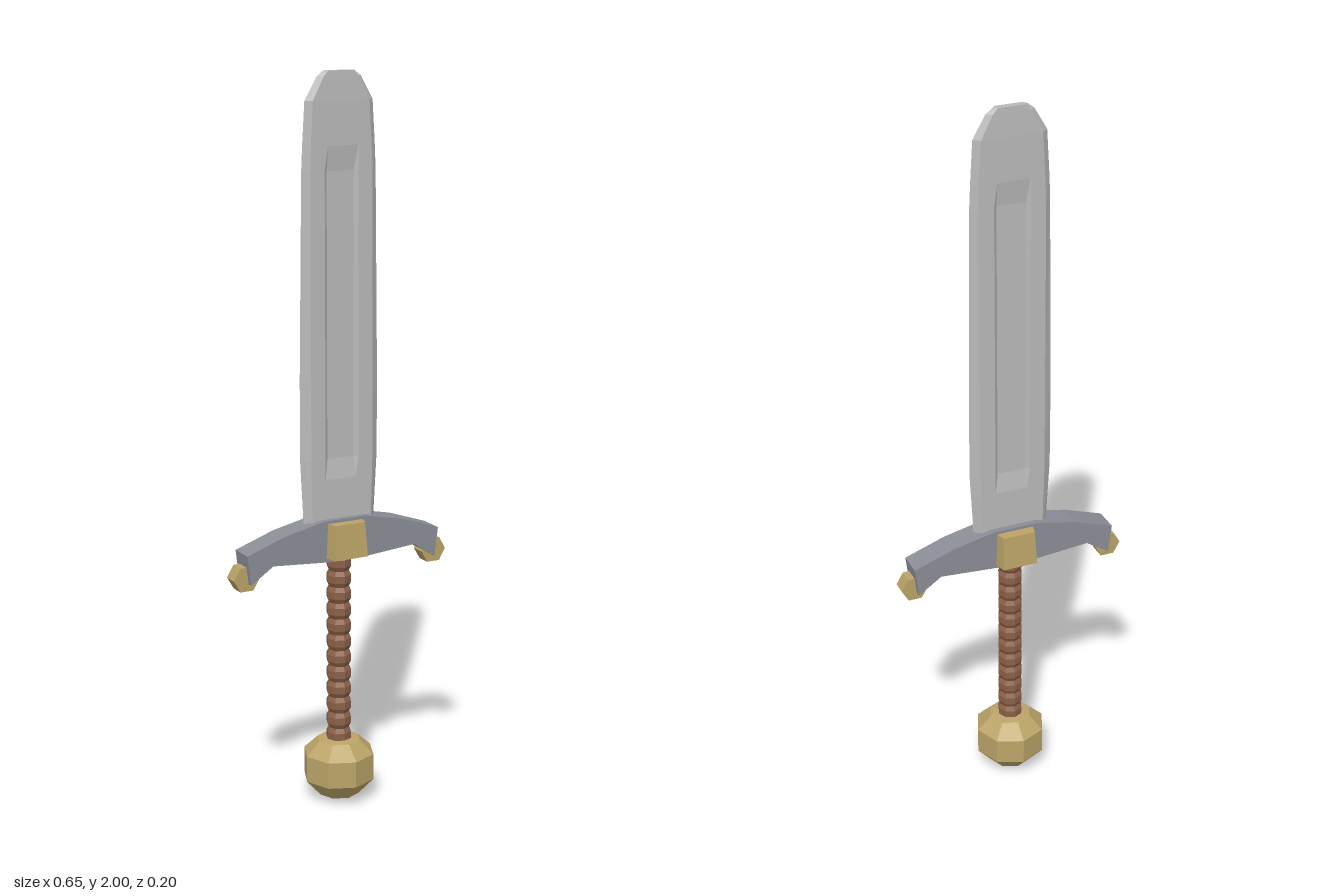
import * as THREE from 'three';

const mat = (name, color) => new THREE.MeshStandardMaterial({ name, color, flatShading: true });

// Joins equal-length closed loops (counter-clockwise seen from above, stacked upward) and caps both ends.
function loft(loops) {
  const n = loops[0].length, idx = [];
  for (let s = 0; s < loops.length - 1; s++) {
    for (let i = 0; i < n; i++) {
      const a = s * n + i, b = s * n + (i + 1) % n;
      idx.push(a, b, b + n, a, b + n, a + n);
    }
  }
  const top = (loops.length - 1) * n;
  for (let i = 1; i < n - 1; i++) {
    idx.push(0, i + 1, i);
    idx.push(top, top + i, top + i + 1);
  }
  const g = new THREE.BufferGeometry();
  g.setAttribute('position', new THREE.Float32BufferAttribute(loops.flat(2), 3));
  g.setIndex(idx);
  const flat = g.toNonIndexed();
  flat.computeVertexNormals();
  return flat;
}

// Blade section: edge half-width w, flat half-width f, half-thickness t, fuller depth d.
function bladeSection([y, w, f, t, d]) {
  const g = Math.min(0.05, f * 0.8), h = g - 0.01;
  const half = [[w, 0], [f, t], [g, t], [h, t - d], [-h, t - d], [-g, t], [-f, t]];
  const back = [[-w, 0], [-f, -t], [-g, -t], [-h, d - t], [h, d - t], [g, -t], [f, -t]];
  // z is reversed so the loop runs counter-clockwise from above
  return [...half, ...back].map(([x, z]) => [x, y, -z]);
}

export function createModel() {
  const group = new THREE.Group();
  const steel = mat('bladeSteel', 0xb9b9b9);
  const iron = mat('guardIron', 0x8b8d97);
  const gold = mat('brass', 0xbba468);
  const leather = mat('gripLeather', 0x8a6048);

  const add = (name, geometry, material) => {
    const mesh = new THREE.Mesh(geometry, material);
    mesh.name = name;
    group.add(mesh);
    return mesh;
  };

  // Blade with a sunken fuller on both faces
  add('blade', loft([
    [0.78, 0.106, 0.088, 0.019, 0],
    [0.925, 0.114, 0.092, 0.019, 0],
    [0.98, 0.117, 0.093, 0.019, 0.009],
    [1.2, 0.117, 0.093, 0.018, 0.009],
    [1.745, 0.11, 0.092, 0.016, 0.008],
    [1.81, 0.107, 0.089, 0.015, 0],
    [1.925, 0.1, 0.083, 0.014, 0],
    [1.985, 0.065, 0.05, 0.011, 0],
    [2.0, 0.045, 0.036, 0.01, 0],
  ].map(bladeSection)), steel);

  // Crossguard with drooping arms
  const right = [[0.04, 0.7], [0.217, 0.714], [0.283, 0.67], [0.293, 0.752], [0.18, 0.791], [0.065, 0.816]];
  const left = right.map(([x, y]) => [-x, y]).reverse();
  const outline = new THREE.Shape([...right, ...left].map(([x, y]) => new THREE.Vector2(x, y)));
  const guard = new THREE.ExtrudeGeometry(outline, { depth: 0.072, bevelEnabled: false });
  guard.translate(0, 0, -0.036);
  add('crossguard', guard, iron);

  // Tapered brass blocks on both faces of the guard
  const blockSection = (y, back, front, z) =>
    [[-back, y, 0.03], [-front, y, z], [front, y, z], [back, y, 0.03]];
  const block = loft([blockSection(0.713, 0.058, 0.05, 0.073), blockSection(0.808, 0.054, 0.045, 0.065)]);
  add('frontGuardBlock', block, gold);
  add('backGuardBlock', block, gold).rotation.y = Math.PI;

  // Hexagonal studs at the guard tips
  const stud = new THREE.CylinderGeometry(0.038, 0.038, 0.042, 6);
  stud.rotateY(Math.PI / 2);
  stud.rotateX(Math.PI / 2);
  for (const side of [-1, 1]) {
    add(side > 0 ? 'leftGuardStud' : 'rightGuardStud', stud, gold).position.set(side * 0.288, 0.684, 0);
  }

  // Ribbed grip
  const profile = [], ribs = 12, y0 = 0.165, pitch = (0.71 - y0) / ribs;
  for (let i = 0; i < ribs; i++) {
    for (const [r, t] of [[0.028, 0], [0.035, 0.28], [0.035, 0.72]]) {
      profile.push(new THREE.Vector2(r, y0 + (i + t) * pitch));
    }
  }
  profile.push(new THREE.Vector2(0.028, 0.71));
  add('grip', new THREE.LatheGeometry(profile, 8), leather);

  // Faceted pommel
  const pommel = [[0, 0], [0.057, 0.016], [0.1, 0.063], [0.1, 0.137], [0.06, 0.175], [0, 0.182]];
  add('pommel', new THREE.LatheGeometry(pommel.map(([r, y]) => new THREE.Vector2(r, y)), 8), gold);

  return group;
}
